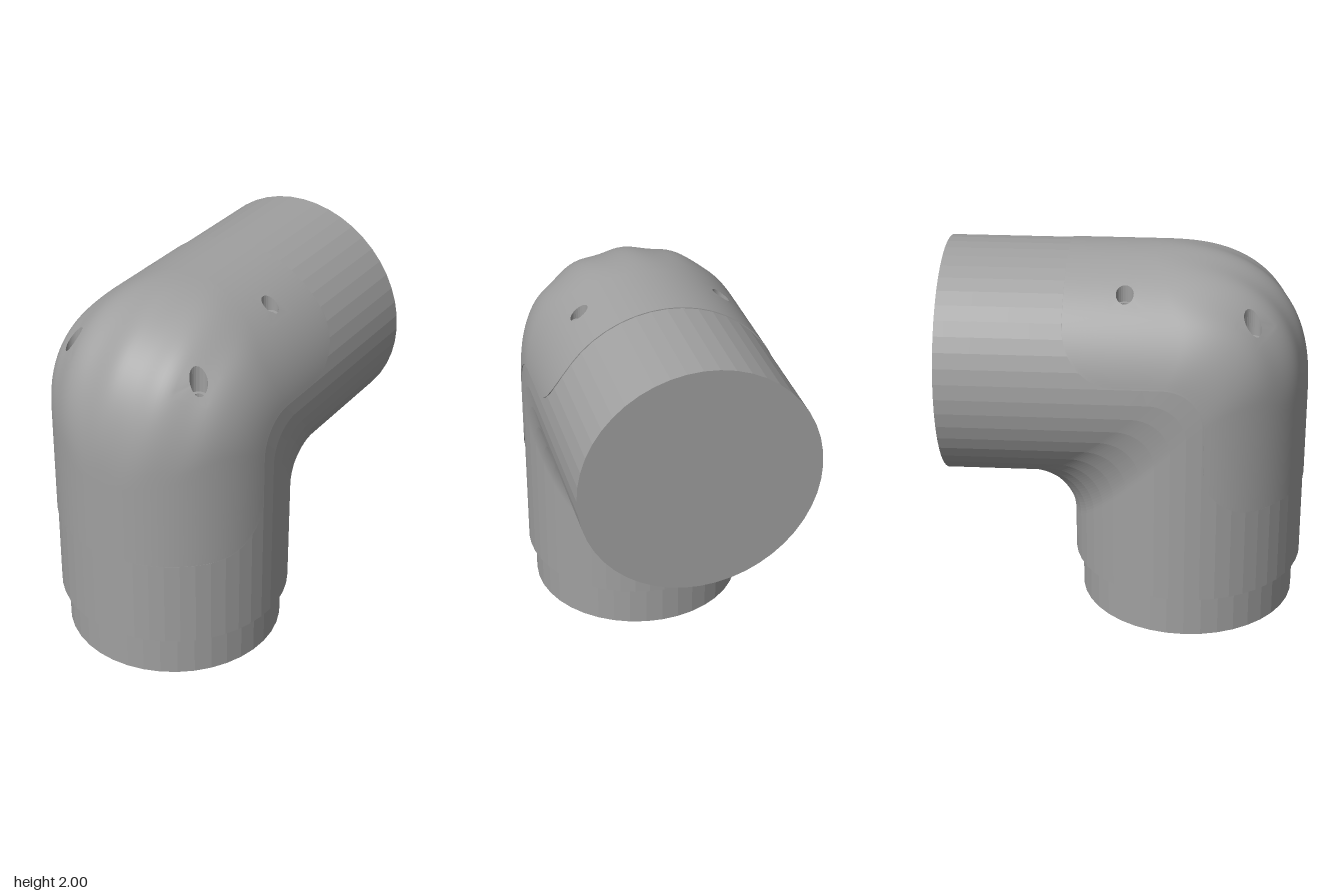
import * as THREE from 'three';

const ZC = 0.327, YC = 1.373;      // axes of the upright and the horizontal pipe
const R_BODY = 0.625, R_PANEL = 0.629;
const lerp = THREE.MathUtils.lerp;

// Point on the elbow skin: a = angle round the pipe, s = position along it
// (-2..0 upright leg, 0..1 bend, 1..3 horizontal leg).
function skin(a, s, o) {
  const x = o.R * Math.sin(a);
  let d = o.R * Math.cos(a);
  if (o.flute && s > 0 && s < 1) {
    const w = Math.sin(Math.PI * s) * THREE.MathUtils.smoothstep(d, 0.3, 0.5);
    d -= o.flute * w * (0.5 - 0.5 * Math.cos((2 * Math.PI * x) / 0.27));
  }
  const q = d / R_BODY, r = 0.2 + (d > 0 ? 0.6 : 0.08) * q * q;
  const n = 2 + 0.5 * Math.max(0, q);
  const y0 = YC + d - r, z0 = ZC + d - r;
  if (s <= 0) {
    const y = s < -1 ? lerp(o.ya, o.yb, s + 2) : lerp(o.yb, y0, s + 1);
    return [x, y, ZC + d];
  }
  if (s >= 1) {
    const z = s > 2 ? lerp(o.zb, o.za, s - 2) : lerp(z0, o.zb, s - 1);
    return [x, YC + d, z];
  }
  const t = (s * Math.PI) / 2;
  return [x, y0 + r * Math.sin(t) ** (2 / n), z0 + r * Math.cos(t) ** (2 / n)];
}

// Row positions: counts for the five stretches, eased at the outer ends
function rows(counts) {
  const list = [-2];
  counts.forEach((n, k) => {
    for (let i = 1; i <= n; i++) {
      let t = i / n;
      if (k === 0) t = 1 - Math.cos((t * Math.PI) / 2);
      if (k === 4) t = Math.sin((t * Math.PI) / 2);
      list.push(k - 2 + t);
    }
  });
  return list;
}

function geometry(points, index, flat) {
  let g = new THREE.BufferGeometry();
  g.setAttribute('position', new THREE.Float32BufferAttribute(points.flat(), 3));
  g.setIndex(index);
  if (flat) g = g.toNonIndexed();
  g.computeVertexNormals();
  return g;
}

// Joins two closed loops of vertex numbers
function joinLoops(index, o, c) {
  o.forEach((_, k) => {
    const m = (k + 1) % o.length;
    index.push(o[k], o[m], c[m], o[k], c[m], c[k]);
  });
}

// Skin of several loops of points, closed at the last one if asked
function loopStack(loops, close) {
  const n = loops[0].length, points = loops.flat(), index = [];
  const ids = loops.map((_, l) => Array.from({ length: n }, (_, k) => l * n + k));
  for (let l = 1; l < loops.length; l++) joinLoops(index, ids[l - 1], ids[l]);
  if (close) {
    const last = ids[loops.length - 1];
    for (let k = 1; k < n - 1; k++) index.push(last[0], last[k], last[k + 1]);
  }
  return geometry(points, index, true);
}

// Pipe body, left open where the cover panel lies over it
function bodyGeometry() {
  const o = { R: R_BODY, ya: 0.24, yb: 0.46, za: -0.955, zb: -0.58 };
  const S = rows([3, 8, 24, 8, 3]), N = 48, points = [], index = [];
  for (const s of S) for (let j = 0; j < N; j++) points.push(skin(-Math.PI + (j * 2 * Math.PI) / N, s, o));
  for (let i = 0; i < S.length - 1; i++) {
    for (let j = 0; j < N; j++) {
      const m = (j + 1) % N;
      const q = [i * N + j, i * N + m, (i + 1) * N + m, (i + 1) * N + j];
      const covered = q.every((v) => {
        const [x, y, z] = points[v], ang = -Math.PI + ((v % N) * 2 * Math.PI) / N;
        return Math.cos(ang) * R_BODY > 0.18 && y > 1.05 && z > -0.12;
      });
      if (!covered) index.push(q[0], q[1], q[2], q[0], q[2], q[3]);
    }
  }
  return geometry(points, index, true);
}

// Cover panel with rounded corners, fluted bend and four screw holes
function panelParts() {
  const o = { R: R_PANEL, ya: 0.73, yb: 1.0, za: -0.31, zb: -0.04, flute: 0.018 };
  const S = rows([14, 6, 44, 12, 14]), N = 72, W = N + 1, points = [], index = [];
  const edge = (s) => {
    const e = s < -1 ? -1 - s : s > 2 ? s - 2 : 0;
    const d = e > 0 ? 0.39 - 0.3 * Math.sqrt(Math.max(0, 1 - e * e)) : 0.09;
    return Math.acos(d / R_PANEL);
  };
  const angle = (i, j) => edge(S[i]) * ((2 * j) / N - 1);
  S.forEach((s, i) => {
    for (let j = 0; j <= N; j++) points.push(skin(angle(i, j), s, o));
  });
  // anticlockwise border of a block of the grid, as [row, column]
  const border = (i0, i1, j0, j1) => {
    const b = [];
    for (let j = j0; j < j1; j++) b.push([i0, j]);
    for (let i = i0; i < i1; i++) b.push([i, j1]);
    for (let j = j1; j > j0; j--) b.push([i1, j]);
    for (let i = i1; i > i0; i--) b.push([i, j0]);
    return b;
  };
  // drops a point onto the panel from above
  const drape = (x, z) => {
    const a = Math.asin(x / o.R);
    let lo = 0, hi = 3;
    for (let k = 0; k < 40; k++) {
      const mid = (lo + hi) / 2;
      if (skin(a, mid, o)[2] > z) lo = mid; else hi = mid;
    }
    return [x, skin(a, lo, o)[1], z];
  };

  const blocks = [], holes = [];
  for (const hx of [-0.38, 0.38]) for (const hz of [0, 0.645]) {
    let i0 = 1e3, i1 = 0, j0 = 1e3, j1 = 0;
    points.slice(0, S.length * W).forEach(([x, y, z], v) => {
      if (y < YC || Math.hypot(x - hx, z - hz) > 0.055) return;
      const i = Math.floor(v / W), j = v % W;
      i0 = Math.min(i0, i - 1); i1 = Math.max(i1, i + 1);
      j0 = Math.min(j0, j - 1); j1 = Math.max(j1, j + 1);
    });
    blocks.push([i0, i1, j0, j1]);
    const outer = border(i0, i1, j0, j1).map(([i, j]) => i * W + j);
    const dirs = outer.map((v) => Math.atan2(points[v][2] - hz, points[v][0] - hx));
    const rim = dirs.map((t) => drape(hx + 0.045 * Math.cos(t), hz + 0.045 * Math.sin(t)));
    const first = points.length;
    points.push(...rim);
    joinLoops(index, outer, rim.map((_, k) => first + k));
    // counterbore: wall, seat ring and narrow socket
    const floor = Math.min(...rim.map((p) => p[1])) - 0.02;
    const ring = (r, y) => dirs.map((t) => [hx + r * Math.cos(t), y, hz + r * Math.sin(t)]);
    holes.push(loopStack([rim, ring(0.045, floor), ring(0.025, floor), ring(0.025, floor - 0.03)], true));
  }
  for (let i = 0; i < S.length - 1; i++) {
    for (let j = 0; j < N; j++) {
      if (blocks.some(([i0, i1, j0, j1]) => i >= i0 && i < i1 && j >= j0 && j < j1)) continue;
      const q = i * W + j;
      index.push(q, q + 1, q + W + 1, q, q + W + 1, q + W);
    }
  }
  // thin wall round the panel
  const loop = border(0, S.length - 1, 0, N);
  const low = loop.map(([i, j]) => skin(angle(i, j), S[i], { ...o, R: R_BODY - 0.008 }));
  const rim = loopStack([low, loop.map(([i, j]) => points[i * W + j])], false);
  return { panel: geometry(points, index, false), rim, holes };
}

export function createModel() {
  const group = new THREE.Group();
  const grey = new THREE.MeshStandardMaterial({ color: 0xa0a0a0 });
  grey.name = 'plain grey';
  const add = (name, g) => {
    const mesh = new THREE.Mesh(g, grey);
    mesh.name = name;
    group.add(mesh);
    return mesh;
  };

  add('elbowBody', bodyGeometry());

  // flat ends of the two pipe legs
  const back = add('backEnd', new THREE.CircleGeometry(R_BODY, 48));
  back.rotation.y = Math.PI;
  back.position.set(0, YC, -0.955);
  const under = add('lowerShoulder', new THREE.CircleGeometry(R_BODY, 48));
  under.rotation.x = Math.PI / 2;
  under.position.set(0, 0.24, ZC);

  // narrower spigot the elbow stands on
  const spigot = new THREE.CylinderGeometry(0.587, 0.587, 0.25, 40).toNonIndexed();
  spigot.computeVertexNormals();
  add('spigot', spigot).position.set(0, 0.125, ZC);

  const { panel, rim, holes } = panelParts();
  add('coverPanel', panel);
  add('coverPanelRim', rim);
  holes.forEach((g, k) => add('screwHole' + (k + 1), g));
  return group;
}
